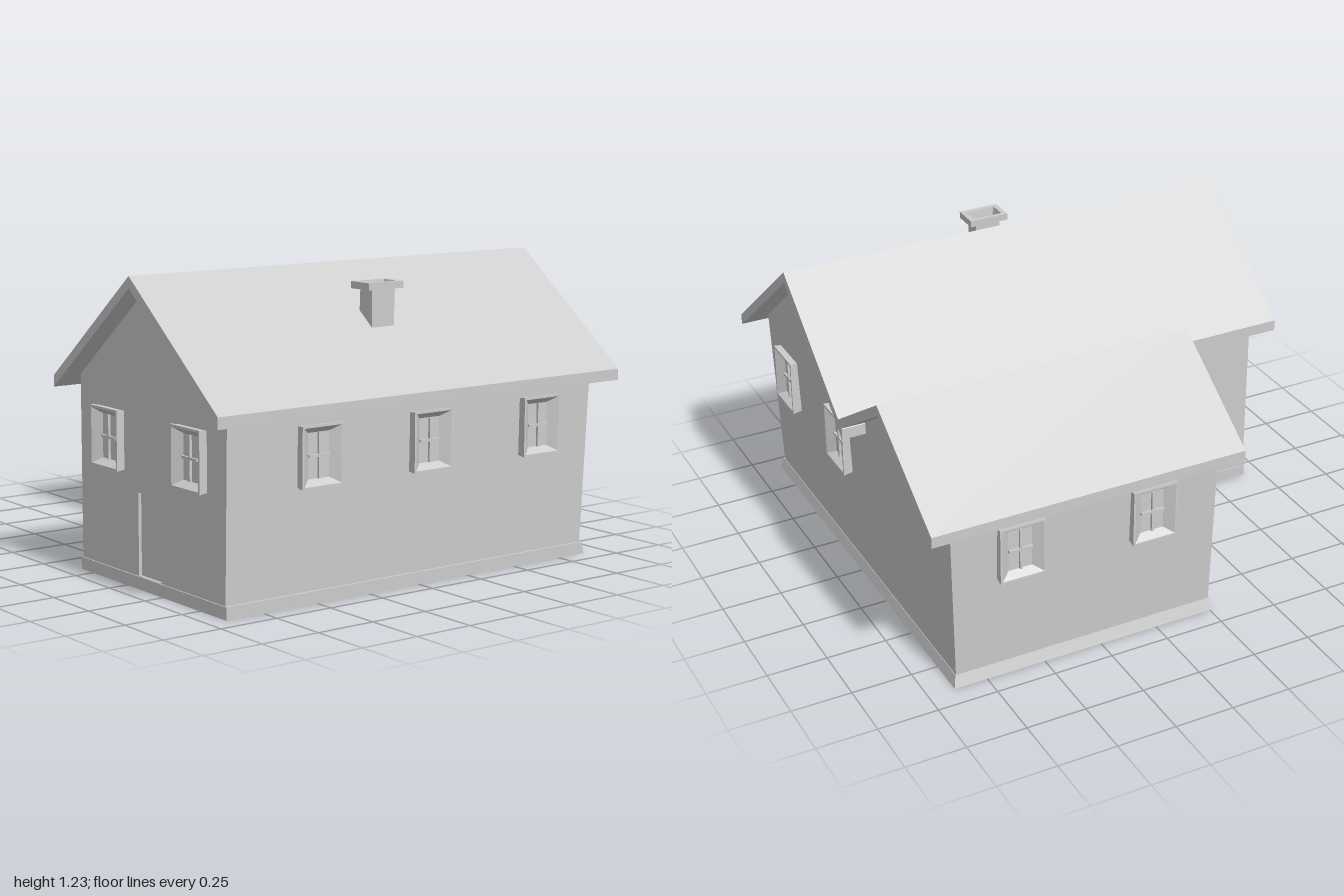
import * as THREE from 'three';

const grey = new THREE.MeshStandardMaterial({ color: 0xcccccc });

function add(parent, name, geometry) {
  const mesh = new THREE.Mesh(geometry, grey);
  mesh.name = name;
  parent.add(mesh);
  return mesh;
}

const toShape = (points) => new THREE.Shape(points.map(([x, y]) => new THREE.Vector2(x, y)));

// Extrudes an xy shape between two z positions
function slab(shape, z0, z1) {
  return new THREE.ExtrudeGeometry(shape, { depth: z1 - z0, bevelEnabled: false }).translate(0, 0, z0);
}

// Moves each vertex by a rule
function bend(geometry, rule) {
  const p = geometry.attributes.position;
  const v = new THREE.Vector3();
  for (let i = 0; i < p.count; i++) {
    rule(v.fromBufferAttribute(p, i));
    p.setXYZ(i, v.x, v.y, v.z);
  }
  geometry.computeVertexNormals();
  return geometry;
}

// Joins rectangles [halfWidth, halfHeight, z] in order and closes the last one
function rectLoft(loops) {
  const pos = [];
  const corner = ([w, h, z], i) => [[-w, -h, z], [w, -h, z], [w, h, z], [-w, h, z]][i % 4];
  const quad = (a, b, c, d) => pos.push(...a, ...b, ...c, ...a, ...c, ...d);
  for (let k = 0; k < loops.length - 1; k++) {
    for (let i = 0; i < 4; i++) {
      quad(corner(loops[k], i), corner(loops[k], i + 1), corner(loops[k + 1], i + 1), corner(loops[k + 1], i));
    }
  }
  const last = loops[loops.length - 1];
  quad(corner(last, 0), corner(last, 1), corner(last, 2), corner(last, 3));
  const g = new THREE.BufferGeometry();
  g.setAttribute('position', new THREE.Float32BufferAttribute(pos, 3));
  g.computeVertexNormals();
  return g;
}

// Gabled wing with a front skin that leaves a recess for its door
function addWing(parent, name, outline, front, door) {
  const body = slab(toShape(outline), -0.875, front - 0.02);
  add(parent, name + 'Walls', bend(body, (v) => {
    if (v.z < -0.8) v.z -= 0.035 * (v.y - 0.05);
  }));
  const [x0, x1, y0, y1] = door;
  const skin = toShape(outline);
  skin.holes.push(new THREE.Path([[x0, y0], [x0, y1], [x1, y1], [x1, y0]].map(([x, y]) => new THREE.Vector2(x, y))));
  add(parent, name + 'FrontWall', slab(skin, front - 0.02, front));
  const panel = new THREE.BoxGeometry(x1 - x0, y1 - y0, 0.008);
  add(parent, name + 'Door', panel).position.set((x0 + x1) / 2, (y0 + y1) / 2, front - 0.017);
}

// Roof of even vertical thickness over a ridge
function addRoof(parent, name, left, right, ridge, z0, z1) {
  const t = 0.046;
  const top = [left, ridge, right];
  const under = [right, ridge, left].map(([x, y]) => [x, y - t]);
  add(parent, name, slab(toShape([...top, ...under]), z0, z1));
}

// Splayed frame, recessed pane and cross bars
function addWindow(parent, x, z, turn) {
  const w = new THREE.Group();
  w.name = 'window';
  add(w, 'windowFrame', rectLoft([
    [0.09, 0.112, -0.03], [0.097, 0.12, 0.036], [0.088, 0.111, 0.036], [0.05, 0.088, 0.006],
  ]));
  add(w, 'uprightBar', new THREE.BoxGeometry(0.01, 0.176, 0.012)).position.z = 0.01;
  add(w, 'crossBar', new THREE.BoxGeometry(0.1, 0.01, 0.012)).position.z = 0.01;
  w.position.set(x, 0.57, z);
  w.rotation.y = turn;
  parent.add(w);
}

export function createModel() {
  const house = new THREE.Group();
  house.name = 'house';

  // L-shaped plinth, flared at the left and back
  const plan = [[-0.91, 0.89], [-0.91, -0.255], [-0.085, -0.255], [-0.085, -0.92], [0.92, -0.92], [0.92, 0.89]];
  const plinth = slab(toShape(plan), 0, 0.05).rotateX(-Math.PI / 2);
  add(house, 'plinth', bend(plinth, (v) => {
    if (v.y < 0.025) return;
    if (v.x < -0.5) v.x += 0.018;
    if (v.z < -0.5) v.z += 0.013;
  }));

  // Main wing and garage wing
  addWing(house, 'mainWing',
    [[-0.08, 0.045], [0.908, 0.045], [0.922, 0.785], [0.41, 1.19], [-0.08, 0.8]],
    0.915, [0.33, 0.485, 0.052, 0.38]);
  addWing(house, 'garage',
    [[-0.892, 0.045], [-0.075, 0.045], [-0.075, 0.75], [-0.515, 1.045], [-0.925, 0.77]],
    0.25, [-0.86, -0.165, 0.052, 0.67]);

  // Roofs
  addRoof(house, 'mainRoof', [-0.145, 0.786], [0.985, 0.77], [0.41, 1.226], -1, 1);
  addRoof(house, 'garageRoof', [-0.985, 0.77], [-0.1, 0.807], [-0.515, 1.085], -1, 0.335);

  // Windows on every side
  for (const x of [0.14, 0.7]) {
    addWindow(house, x, 0.915, 0);
    addWindow(house, x, -0.893, Math.PI);
  }
  for (const z of [0.5, -0.04, -0.61]) addWindow(house, 0.918, z, Math.PI / 2);
  for (const z of [-0.04, -0.61]) addWindow(house, -0.916, z, -Math.PI / 2);
  addWindow(house, -0.08, 0.5, -Math.PI / 2);

  // Hollow chimney with a wider cap
  const chimney = rectLoft([
    [0.038, 0.056, 0.95], [0.038, 0.056, 1.14], [0.056, 0.087, 1.14],
    [0.056, 0.087, 1.168], [0.038, 0.066, 1.168], [0.026, 0.044, 1.06],
  ]).rotateX(-Math.PI / 2);
  add(house, 'chimney', chimney).position.set(0.667, 0, 0.015);

  return house;
}
